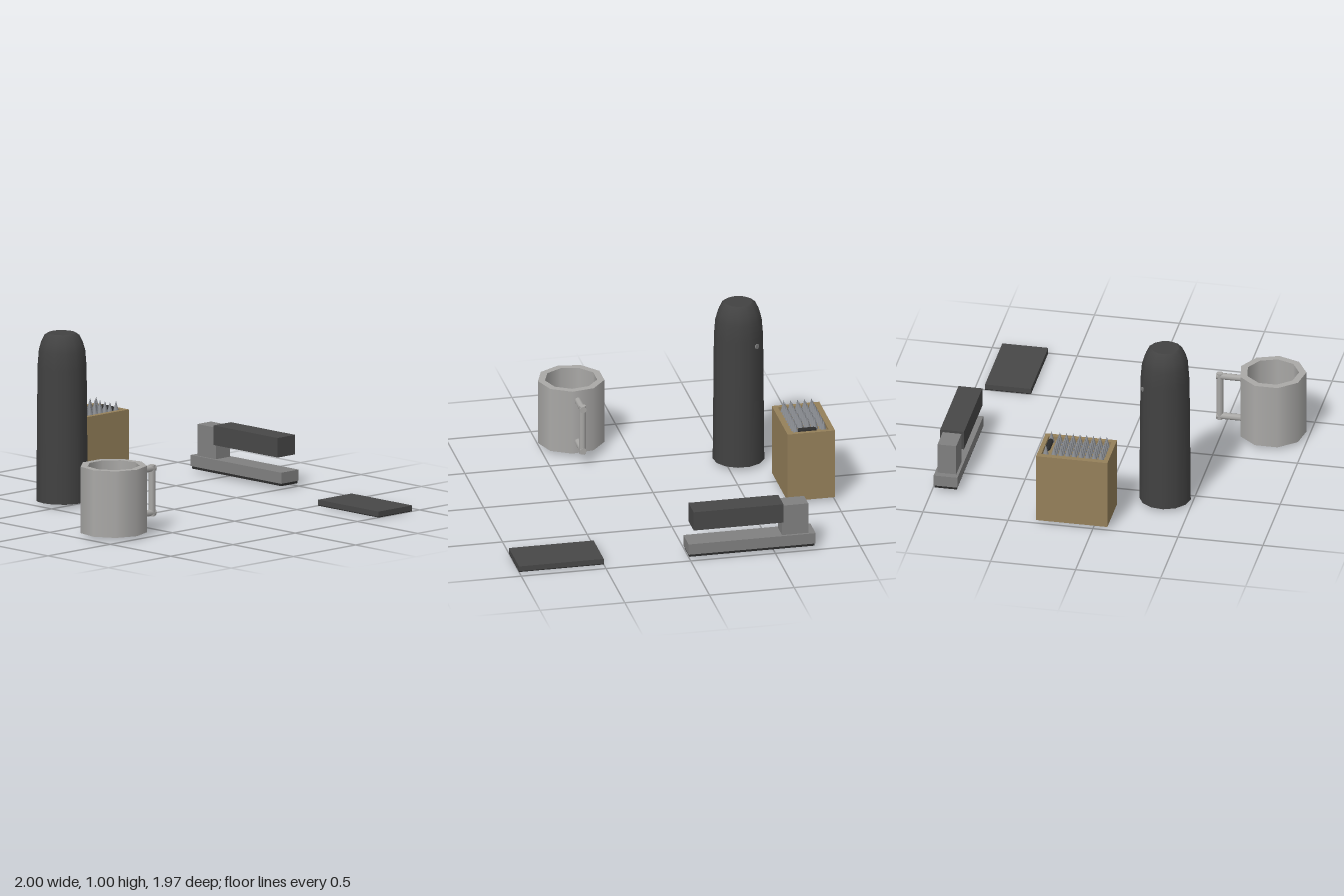
import * as THREE from 'three';

const mat = (name, color, side = THREE.FrontSide) => {
  const m = new THREE.MeshStandardMaterial({ color, side });
  m.name = name;
  return m;
};

export function createModel() {
  const black = mat('black plastic', 0x484848);
  const dark = mat('bottle charcoal', 0x424242);
  const sole = mat('dark underside', 0x2c2c2c);
  const grey = mat('stapler grey', 0x808080);
  const ceramic = mat('mug ceramic', 0xaaa9a7, THREE.DoubleSide);
  const wood = mat('wood', 0x95805a);
  const lead = mat('pencil tips', 0x8a8d92);

  const group = (name) => { const g = new THREE.Group(); g.name = name; return g; };
  const add = (parent, name, geo, m, x = 0, y = 0, z = 0) => {
    const mesh = new THREE.Mesh(geo, m);
    mesh.name = name;
    mesh.position.set(x, y, z);
    parent.add(mesh);
    return mesh;
  };
  // Box given by its limits on each axis
  const box = (parent, name, m, x0, x1, y0, y1, z0, z1) =>
    add(parent, name, new THREE.BoxGeometry(x1 - x0, y1 - y0, z1 - z0), m,
      (x0 + x1) / 2, (y0 + y1) / 2, (z0 + z1) / 2);
  // Horizontal disc facing up or down
  const disc = (parent, name, m, r, n, y, up) => {
    const d = add(parent, name, new THREE.CircleGeometry(r, n), m, 0, y, 0);
    d.rotation.x = up ? -Math.PI / 2 : Math.PI / 2;
    return d;
  };

  const root = group('deskSet');

  // Bottle: smooth tapered body with rounded shoulder and flat top
  const bottle = group('bottle');
  bottle.position.set(-0.58, 0, 0.34);
  const profile = [[0.15, 0.02], [0.143, 0.8], [0.135, 0.9], [0.122, 0.945], [0.1, 0.99], [0.08, 1.002]];
  add(bottle, 'bottleBody', new THREE.LatheGeometry(
    profile.map(([r, y]) => new THREE.Vector2(r, y)), 13), dark);
  disc(bottle, 'bottleTop', dark, 0.08, 13, 1.002, true).rotation.z = -Math.PI / 2;
  disc(bottle, 'bottleBottom', sole, 0.15, 13, 0.02, false).rotation.z = -Math.PI / 2;
  const button = add(bottle, 'bottleButton', new THREE.CylinderGeometry(0.015, 0.015, 0.008, 8), grey,
    -0.083, 0.76, -0.116);
  button.quaternion.setFromUnitVectors(new THREE.Vector3(0, 1, 0), new THREE.Vector3(-0.58, 0, -0.81).normalize());
  root.add(bottle);

  // Mug: nine-sided hollow cup
  const mug = group('mug');
  mug.position.set(0.31, 0, 0.79);
  const wall = (r, y0, y1) => {
    const g = new THREE.CylinderGeometry(r, r, y1 - y0, 9, 1, true, Math.PI / 2);
    return g.translate(0, (y0 + y1) / 2, 0);
  };
  add(mug, 'mugOuterWall', wall(0.195, 0.02, 0.41), ceramic);
  add(mug, 'mugInnerWall', wall(0.153, 0.06, 0.41), ceramic);
  add(mug, 'mugRim', new THREE.RingGeometry(0.153, 0.195, 9), ceramic, 0, 0.41, 0).rotation.x = -Math.PI / 2;
  disc(mug, 'mugFloor', ceramic, 0.153, 9, 0.06, true);
  disc(mug, 'mugBottom', ceramic, 0.195, 9, 0.02, false);
  // Handle: two arms and an upright at the back
  for (const y of [0.09, 0.35]) {
    add(mug, 'handleArm', new THREE.CylinderGeometry(0.02, 0.02, 0.16, 8), ceramic, 0, y, -0.25)
      .rotation.x = Math.PI / 2;
  }
  add(mug, 'handleUpright', new THREE.CylinderGeometry(0.02, 0.02, 0.3, 8), ceramic, 0, 0.22, -0.31);
  root.add(mug);

  // Stapler: base, dark sole, rear post and overhanging arm
  const stapler = group('stapler');
  box(stapler, 'staplerSole', sole, -0.735, 0.005, 0.02, 0.035, -0.985, -0.855);
  box(stapler, 'staplerBase', grey, -0.74, 0.01, 0.035, 0.1, -0.99, -0.85);
  box(stapler, 'staplerPost', grey, -0.7, -0.545, 0.1, 0.285, -0.975, -0.865);
  box(stapler, 'staplerArm', black, -0.55, -0.02, 0.185, 0.3, -0.99, -0.85);
  root.add(stapler);

  // Flat phone
  const phone = group('phone');
  box(phone, 'phoneBody', black, 0.5, 1, 0.005, 0.035, -0.94, -0.67);
  box(phone, 'phoneBack', sole, 0.5, 1, 0, 0.005, -0.94, -0.67);
  root.add(phone);

  // Pencil block: solid body with a shallow tray in the top
  const block = group('pencilBlock');
  const rect = (P, x0, x1, z0, z1) => {
    const s = new P();
    s.moveTo(x0, -z1); s.lineTo(x1, -z1); s.lineTo(x1, -z0); s.lineTo(x0, -z0); s.closePath();
    return s;
  };
  box(block, 'blockBody', wood, -1, -0.72, 0.02, 0.42, -0.335, 0.085);
  const frame = rect(THREE.Shape, -1, -0.72, -0.335, 0.085);
  frame.holes.push(rect(THREE.Path, -0.967, -0.75, -0.31, 0.058));
  add(block, 'blockRim', new THREE.ExtrudeGeometry(frame, { depth: 0.02, bevelEnabled: false }), wood, 0, 0.42, 0)
    .rotation.x = -Math.PI / 2;

  // Pencil tips: five columns by eight rows, plus two at the back corners
  const tip = new THREE.ConeGeometry(0.019, 0.07, 8);
  const columns = [-0.943, -0.902, -0.861, -0.82, -0.779];
  for (let row = 0; row < 8; row++) {
    for (const x of columns) add(block, 'pencilTip', tip, lead, x, 0.455, 0.037 - row * 0.0395);
  }
  for (const x of [columns[0], columns[4]]) add(block, 'pencilTip', tip, lead, x, 0.455, -0.288);

  // Dark pen lying in the back of the tray
  add(block, 'lyingPen', new THREE.CapsuleGeometry(0.017, 0.08, 4, 8), sole, -0.845, 0.437, -0.288)
    .rotation.z = Math.PI / 2;
  root.add(block);

  return root;
}
